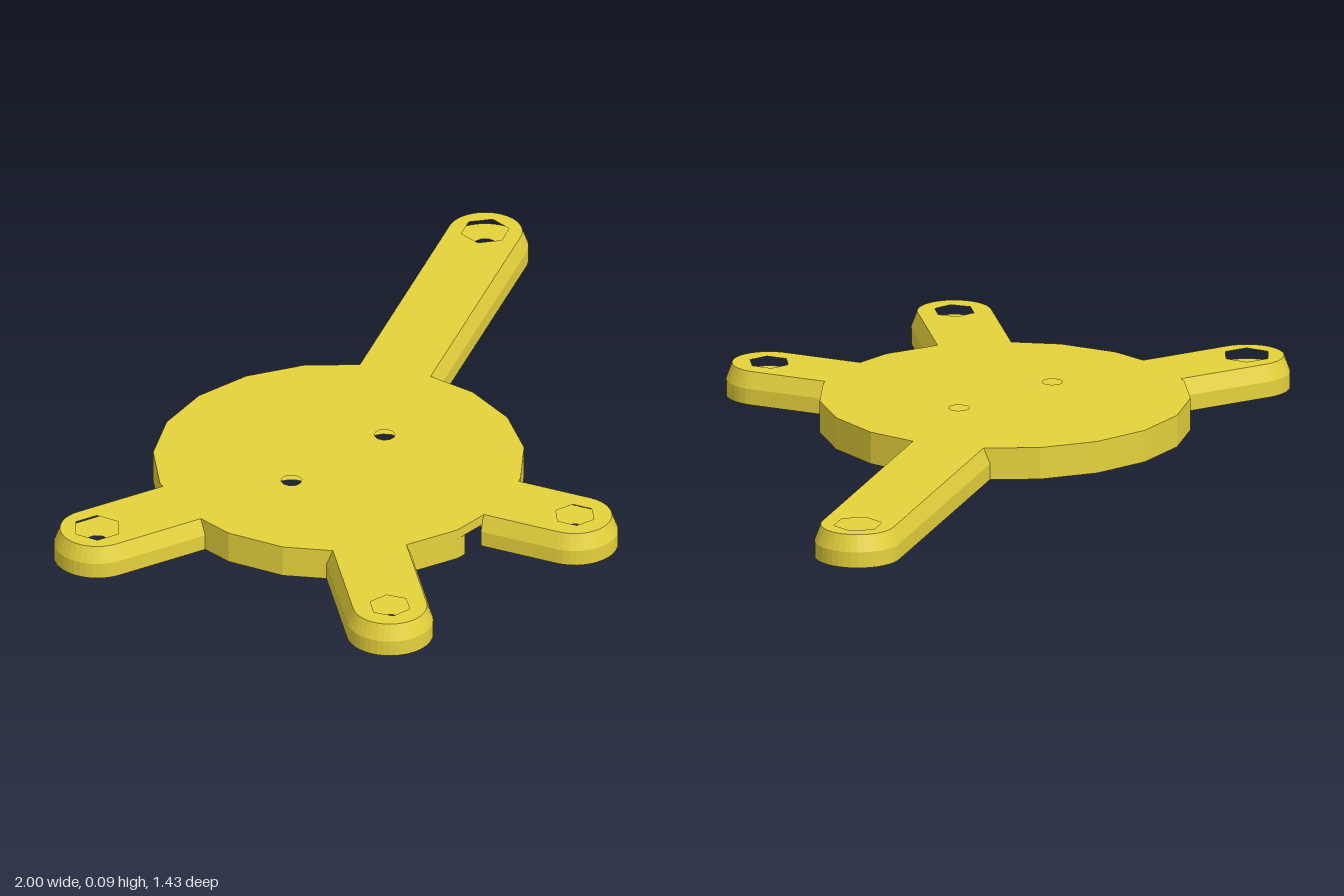
import * as THREE from 'three';

const H = 0.085;
const material = new THREE.MeshStandardMaterial({ color: 0xe6d23c, flatShading: true });

// Points of a regular polygon, in plan coordinates (x, z)
function ring(cx, cz, r, n, start = 0) {
  return Array.from({ length: n }, (_, i) => {
    const a = start + (i / n) * Math.PI * 2;
    return [cx + r * Math.cos(a), cz + r * Math.sin(a)];
  });
}

// Flat slab from a plan outline with holes, between heights y0 and y1
function slab(outline, holes, y0, y1) {
  const toVec = ([x, z]) => new THREE.Vector2(x, -z);
  const shape = new THREE.Shape(outline.map(toVec));
  shape.holes = holes.map((h) => new THREE.Path(h.map(toVec)));
  const geo = new THREE.ExtrudeGeometry(shape, { depth: y1 - y0, bevelEnabled: false });
  geo.rotateX(-Math.PI / 2);
  geo.translate(0, y0, 0);
  return geo;
}

function addMesh(parent, geo, name) {
  const mesh = new THREE.Mesh(geo, material);
  mesh.name = name;
  parent.add(mesh);
}

// Arm with a round tip, chamfered upper edge, screw hole and hexagonal nut recess
function makeArm({ name, tip, root, overlap, hole, recess }) {
  const R = 0.112, inset = 0.016, split = 0.042;
  const dx = tip[0] - root[0], dz = tip[1] - root[1];
  const length = Math.hypot(dx, dz) + overlap;
  const outline = [[-length, -R]];
  for (let i = 0; i <= 20; i++) {
    const a = -Math.PI / 2 + (i / 20) * Math.PI;
    outline.push([R * Math.cos(a), R * Math.sin(a)]);
  }
  outline.push([-length, R]);

  const lower = slab(outline, [ring(0, 0, hole, 10)], 0, split);
  const upper = slab(outline, [ring(0, 0, recess, 6)], split, H);
  // pull the top outline inwards to form the chamfer
  const p = upper.attributes.position;
  const k = (R - inset) / R;
  for (let i = 0; i < p.count; i++) {
    const x = p.getX(i), z = p.getZ(i);
    if (p.getY(i) > H - 0.001 && Math.hypot(Math.max(x, 0), z) > R - 0.01) {
      p.setZ(i, z * k);
      if (x > 0) p.setX(i, x * k);
    }
  }
  upper.computeVertexNormals();

  const arm = new THREE.Group();
  arm.name = name;
  addMesh(arm, lower, 'armBase');
  addMesh(arm, upper, 'armTop');
  arm.position.set(tip[0], 0, tip[1]);
  arm.rotation.y = Math.atan2(-dz, dx);
  return arm;
}

// Faceted disc: lower layer has the underside pockets, upper layer the screw holes
function makeDisc() {
  const disc = new THREE.Group();
  disc.name = 'disc';
  const rim = ring(-0.19, -0.037, 0.48, 19);
  const screws = [[-0.36, -0.038], [-0.025, -0.038]];
  const step = 0.058;

  // round pocket that breaks through the front rim
  const notch = [];
  for (let i = 0; i <= 20; i++) {
    const a = 0.52 - (i / 20) * (Math.PI + 1.16);
    notch.push([-0.14 + 0.075 * Math.cos(a), 0.395 + 0.075 * Math.sin(a)]);
  }
  const notched = [...rim.slice(0, 5), ...notch, ...rim.slice(5)];

  const counterbores = screws.map(([x, z]) => ring(x, z, 0.05, 14));
  const blindHole = ring(-0.167, 0.216, 0.028, 10);
  addMesh(disc, slab(notched, [...counterbores, blindHole], 0, step), 'discBase');
  addMesh(disc, slab(rim, screws.map(([x, z]) => ring(x, z, 0.027, 10)), step, H), 'discTop');
  return disc;
}

export function createModel() {
  const model = new THREE.Group();
  model.name = 'mountingPlate';
  model.add(makeDisc());
  const arms = [
    { name: 'longArm', tip: [0.886, -0.605], root: [0.227, -0.257], overlap: 0.04, hole: 0.034, recess: 0.063 },
    { name: 'sideArm', tip: [-0.888, -0.213], root: [-0.645, -0.155], overlap: 0.04, hole: 0.034, recess: 0.063 },
    { name: 'frontRightArm', tip: [-0.622, 0.597], root: [-0.457, 0.353], overlap: 0.04, hole: 0.028, recess: 0.054 },
    { name: 'frontLeftArm', tip: [0.042, 0.597], root: [-0.032, 0.406], overlap: 0.01, hole: 0.028, recess: 0.054 },
  ];
  for (const a of arms) model.add(makeArm(a));
  return model;
}
